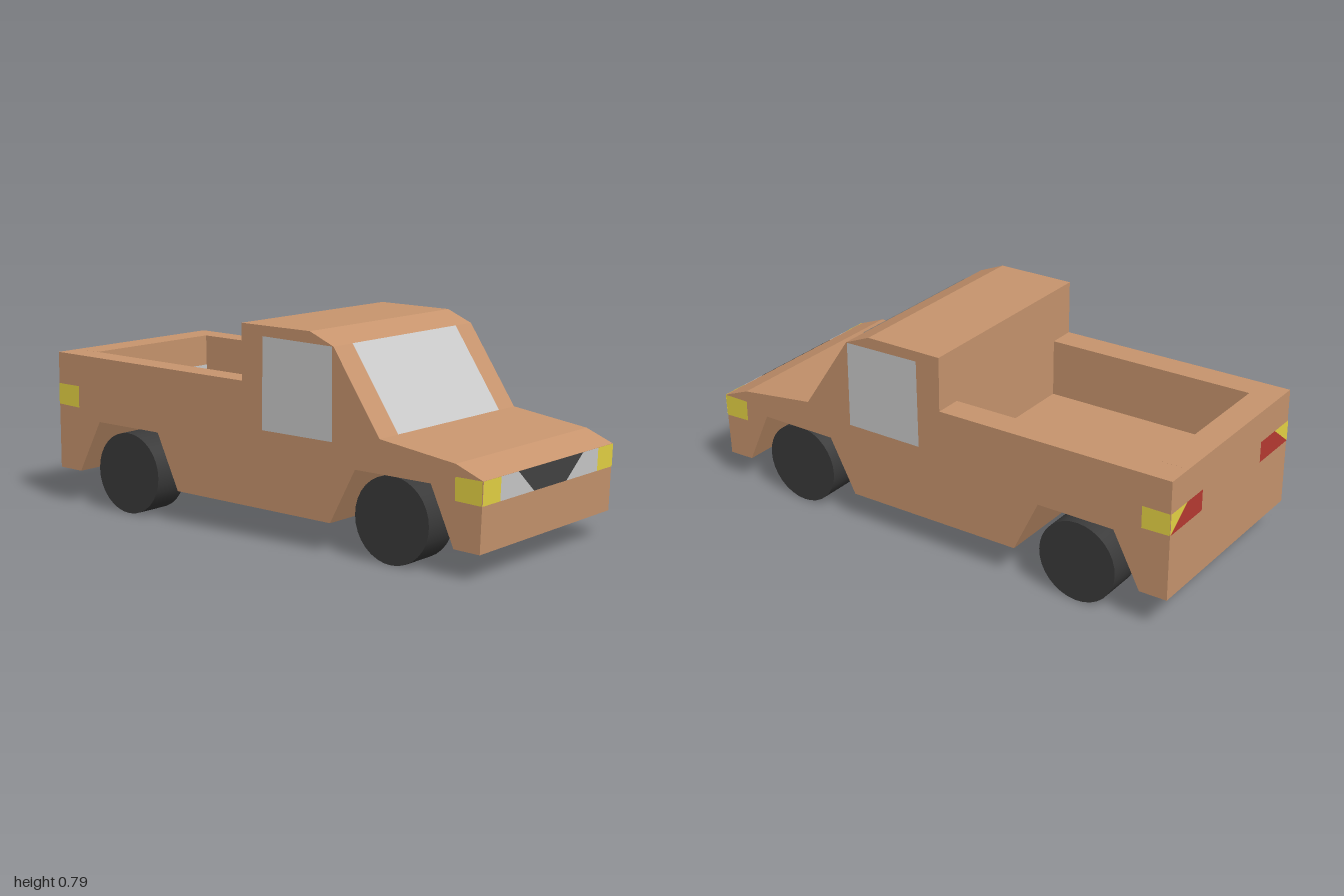
import * as THREE from 'three';

const mat = (color, extra = {}) => new THREE.MeshStandardMaterial({ color, ...extra });
const paint = mat(0xc8956e);
const tyre = mat(0x3a3a3a);
const flat = (color) => mat(color, { side: THREE.DoubleSide });
const glass = flat(0xcccccc), amber = flat(0xe8d545), red = flat(0xb83a32), dark = flat(0x444444);

const HALF = 0.42, BED = 0.315, WELL = 0.105, LIFT = 0.002;

// Side outlines, read clockwise from the rear bottom corner
const rail = [[-1, 0.14], [-1, 0.6], [-0.045, 0.58]];
const bedCut = [[-1, 0.14], [-1, 0.6], [-0.89, 0.598], [-0.89, 0.37], [-0.045, 0.355]];
const cabAndHood = [[-0.045, 0.79], [0.27, 0.785], [0.375, 0.74], [0.575, 0.44], [0.89, 0.395], [1, 0.35], [0.99, 0.1]];
const arches = [
  [0.885, 0.104], [0.79, 0.315], [0.47, 0.32], [0.36, 0.114],
  [-0.37, 0.128], [-0.47, 0.34], [-0.78, 0.345], [-0.89, 0.138],
];

function mesh(name, geometry, material) {
  const m = new THREE.Mesh(geometry, material);
  m.name = name;
  return m;
}

// Lengthwise slice of the body between two z values
function slice(name, outline, z0, z1) {
  const shape = new THREE.Shape(outline.map(([x, y]) => new THREE.Vector2(x, y)));
  const g = new THREE.ExtrudeGeometry(shape, { depth: z1 - z0, bevelEnabled: false });
  g.translate(0, 0, z0);
  return mesh(name, g, paint);
}

// Thin flat panel from a convex loop of 3D corners
function panel(name, corners, material) {
  const g = new THREE.BufferGeometry();
  g.setAttribute('position', new THREE.Float32BufferAttribute(corners.flat(), 3));
  const index = [];
  for (let i = 1; i < corners.length - 1; i++) index.push(0, i, i + 1);
  g.setIndex(index);
  g.computeVertexNormals();
  return mesh(name, g, material);
}

export function createModel() {
  const truck = new THREE.Group();
  truck.name = 'pickupTruck';

  // Body: solid spine, then bed floor over the wheel wells, then side walls
  truck.add(slice('bodySpine', [...bedCut, ...cabAndHood], -WELL, WELL));

  // Front face leans slightly with height
  const nose = (y, z) => [0.99 + 0.04 * (y - 0.1) + LIFT, y, z];

  for (const s of [1, -1]) {
    // Counter-clockwise order seen from +z or -z, chosen by the side
    const out = (pts, z = s * (HALF + LIFT)) => {
      const loop = pts.map(([x, y]) => [x, y, z]);
      return s > 0 ? loop : loop.reverse();
    };
    const span = (a, b) => (s > 0 ? [a, b] : [-b, -a]);
    truck.add(slice('bodyMiddle', [...bedCut, ...cabAndHood, ...arches], ...span(WELL, BED)));
    truck.add(slice('bodySide', [...rail, ...cabAndHood, ...arches], ...span(BED, HALF)));

    // Side window and side lamps
    truck.add(panel('sideWindow', out([[0.05, 0.41], [0.37, 0.405], [0.37, 0.74], [0.055, 0.75]]), glass));
    truck.add(panel('frontSideLamp', out([[0.89, 0.27], [0.996, 0.265], [0.999, 0.35], [0.89, 0.352]]), amber));
    truck.add(panel('rearSideLamp', out([[-1, 0.395], [-0.89, 0.39], [-0.89, 0.475], [-1, 0.477]]), amber));

    // Headlamp and the pale grille piece beside it
    truck.add(panel('headlamp',
      [nose(0.265, s * BED), nose(0.265, s * HALF), nose(0.35, s * HALF), nose(0.35, s * BED)], amber));
    truck.add(panel('grilleSide',
      [nose(0.265, s * WELL), nose(0.265, s * BED), nose(0.35, s * BED), nose(0.35, s * 0.21)], glass));

    // Tail lamp split diagonally into red and amber
    const tail = (y, z) => [-1 - LIFT, y, s * z];
    truck.add(panel('tailLamp', [tail(0.395, 0.21), tail(0.395, HALF), tail(0.477, BED), tail(0.477, 0.21)], red));
    truck.add(panel('tailIndicator', [tail(0.395, HALF), tail(0.477, HALF), tail(0.477, BED)], amber));

    // Small plate on the inner tailgate
    const inner = (y, z) => [-0.89 + LIFT, y, s * z];
    truck.add(panel('tailgatePlate', [inner(0.375, 0.22), inner(0.375, BED), inner(0.475, BED), inner(0.475, 0.22)], glass));

    // Wheels
    for (const [name, x] of [['rearWheel', -0.632], ['frontWheel', 0.624]]) {
      const wheel = mesh(name, new THREE.CylinderGeometry(0.157, 0.157, 0.145, 32), tyre);
      wheel.rotation.x = Math.PI / 2;
      wheel.position.set(x, 0.161, s * 0.3425);
      truck.add(wheel);
    }
  }

  // Dark centre grille
  truck.add(panel('grille', [nose(0.265, WELL), nose(0.265, -WELL), nose(0.35, -0.21), nose(0.35, 0.21)], dark));

  // Windscreen
  truck.add(panel('windscreen', [
    [0.577, 0.441, BED], [0.577, 0.441, -BED], [0.377, 0.741, -BED], [0.377, 0.741, BED],
  ], glass));

  return truck;
}
